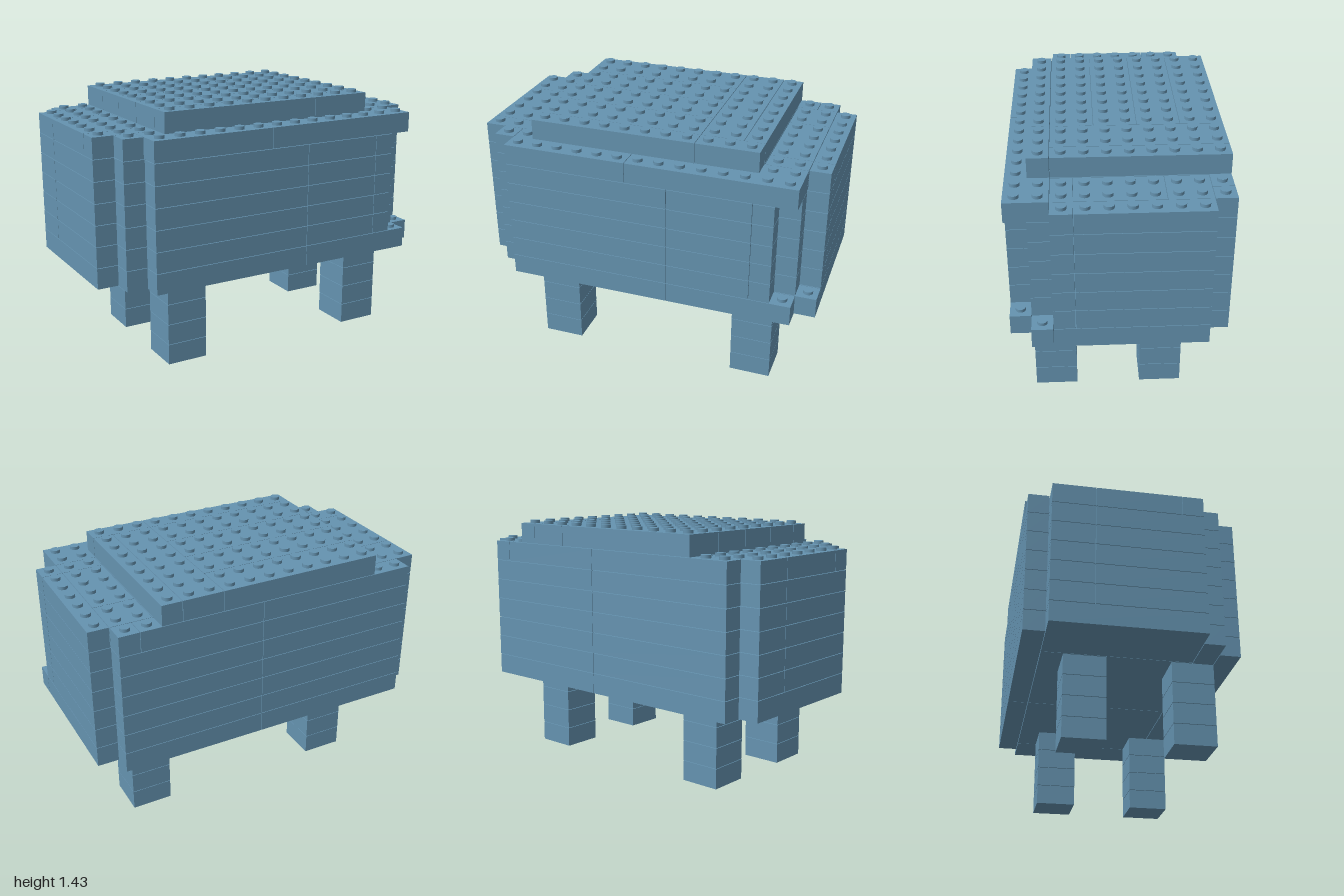
import * as THREE from 'three';

const U = 2 / 17;      // one stud pitch, also one course height
const GAP = 0.003;     // seam between neighbouring bricks
const STUD_H = 0.018;

export function createModel() {
  const model = new THREE.Group();
  model.name = 'brickTable';
  const blue = new THREE.MeshStandardMaterial({ color: 0x6593b0 });
  blue.name = 'steel blue';
  const px = (i) => (i - 8.5) * U;
  const pz = (j) => (j - 5) * U;
  const studGeo = new THREE.CylinderGeometry(0.0275, 0.0275, STUD_H, 20);

  function group(name) {
    const g = new THREE.Group();
    g.name = name;
    model.add(g);
    return g;
  }

  // Brick covering grid cells x0..x1, z0..z1 on a given course
  function brick(parent, name, level, [x0, x1, z0, z1]) {
    const geo = new THREE.BoxGeometry((x1 - x0) * U - GAP, U - GAP, (z1 - z0) * U - GAP);
    const mesh = new THREE.Mesh(geo, blue);
    mesh.position.set(px((x0 + x1) / 2), (level + 0.5) * U, pz((z0 + z1) / 2));
    mesh.name = name;
    parent.add(mesh);
  }

  // Studs on every cell of a brick, except where a cover rectangle lies on top
  function studs(parent, level, [x0, x1, z0, z1], cover) {
    for (let i = x0; i < x1; i++) {
      for (let j = z0; j < z1; j++) {
        if (cover && i >= cover[0] && i < cover[1] && j >= cover[2] && j < cover[3]) continue;
        const stud = new THREE.Mesh(studGeo, blue);
        stud.position.set(px(i + 0.5), (level + 1) * U - GAP / 2 + STUD_H / 2, pz(j + 0.5));
        stud.name = 'stud';
        parent.add(stud);
      }
    }
  }

  // Four legs, four bricks each
  for (const x of [3, 13]) {
    for (const z of [2, 7]) {
      const leg = group('leg');
      for (let level = 0; level < 4; level++) brick(leg, 'legBrick', level, [x, x + 2, z, z + 2]);
    }
  }

  // Floor course, with two exposed studs at the front corner
  const floor = group('floor');
  for (const b of [
    [2, 10, 9, 10], [10, 16, 9, 10], [1, 10, 8, 9], [10, 17, 8, 9],
    [1, 9, 0, 1], [9, 16, 0, 1], [0, 3, 1, 8], [15, 17, 1, 8],
    [3, 9, 1, 4], [9, 15, 1, 4], [3, 9, 4, 8], [9, 15, 4, 8],
  ]) brick(floor, 'floorBrick', 4, b);
  studs(floor, 4, [15, 16, 9, 10]);
  studs(floor, 4, [16, 17, 8, 9]);

  // Walls, five identical courses around a hollow middle
  const walls = group('walls');
  for (let level = 5; level < 10; level++) {
    for (const b of [
      [2, 10, 9, 10], [10, 14, 9, 10], [14, 15, 9, 10],
      [1, 10, 8, 9], [10, 16, 8, 9],
      [1, 9, 0, 1], [9, 16, 0, 1],
      [0, 2, 1, 3], [0, 2, 3, 8],
      [15, 17, 1, 7], [15, 17, 7, 8],
    ]) brick(walls, 'wallBrick', level, b);
  }

  // Roof course, studded where the raised top leaves it bare
  const roof = group('roof');
  for (const b of [
    [1, 9, 0, 1], [9, 15, 0, 1], [15, 16, 0, 1],
    [0, 3, 1, 3], [0, 3, 3, 7], [0, 3, 7, 8],
    [1, 2, 8, 9], [2, 8, 8, 10], [8, 16, 8, 10],
    [3, 14, 1, 8],
    [14, 16, 1, 3], [14, 16, 3, 7], [14, 16, 7, 8],
    [16, 17, 1, 7], [16, 17, 7, 8],
  ]) {
    brick(roof, 'roofBrick', 10, b);
    studs(roof, 10, b, [3, 14, 0, 9]);
  }

  // Raised top course
  const top = group('raisedTop');
  for (const b of [
    [3, 11, 0, 2], [3, 11, 2, 4], [3, 11, 4, 6], [3, 11, 6, 8],
    [11, 13, 0, 8], [13, 14, 0, 8], [3, 11, 8, 9], [11, 14, 8, 9],
  ]) {
    brick(top, 'topBrick', 11, b);
    studs(top, 11, b);
  }

  return model;
}
